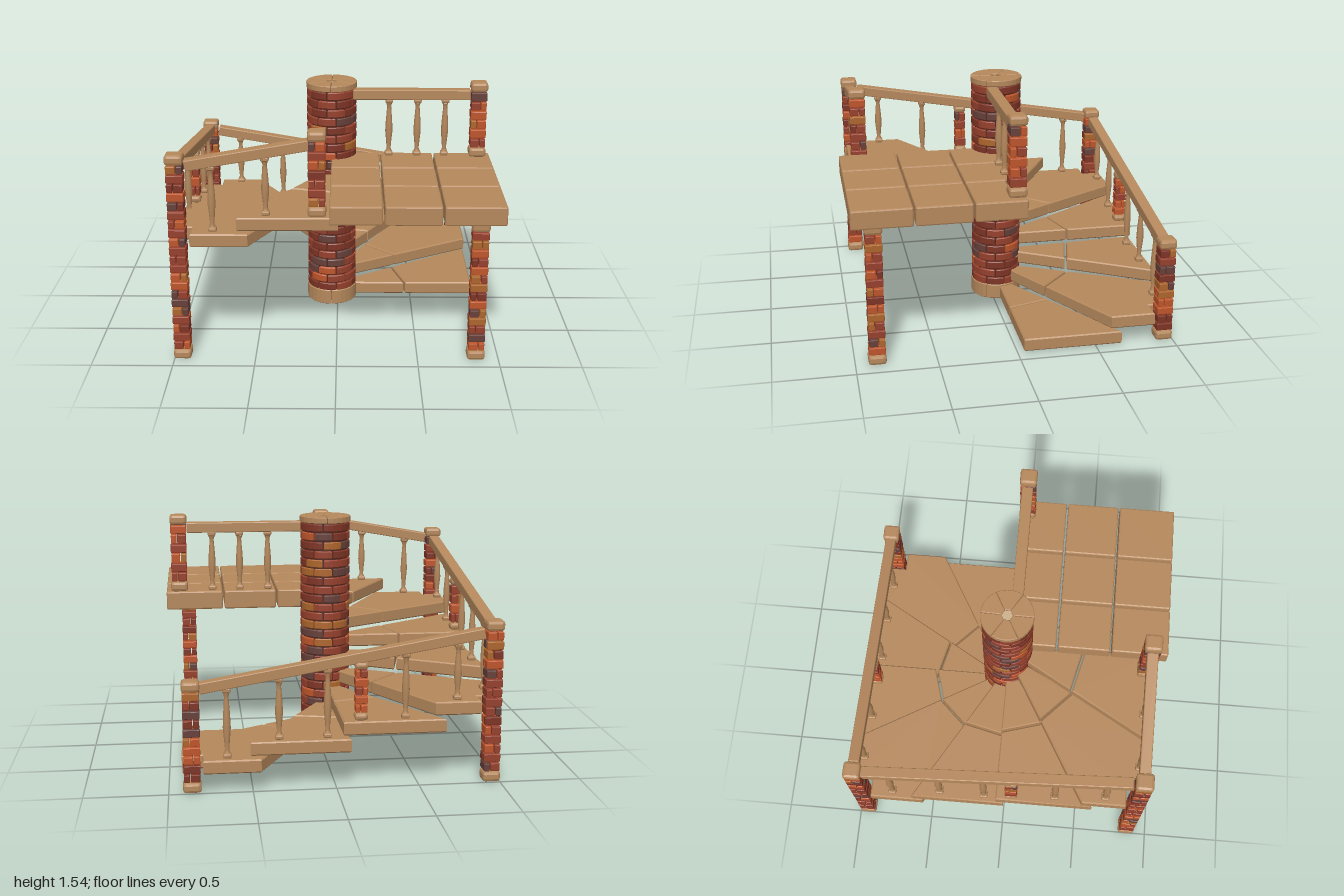
import * as THREE from 'three';
import { mergeGeometries } from 'three/addons/utils/BufferGeometryUtils.js';
import { RoundedBoxGeometry } from 'three/addons/geometries/RoundedBoxGeometry.js';

const material = (name, color) => {
  const m = new THREE.MeshStandardMaterial({ color });
  m.name = name;
  return m;
};

export function createModel() {
  const model = new THREE.Group();
  model.name = 'spiralStaircase';
  const stone = material('tan stone', 0xb5885c);
  const paleStone = material('pale stone', 0xcdb08c);
  const bricks = [
    material('red brick', 0x96402c),
    material('dark red brick', 0x7e3425),
    material('orange brick', 0xbe552b),
    material('ochre brick', 0xad652c),
    material('brown brick', 0x67403a),
  ];
  const mortar = material('dark joint', 0x4f281f);

  let seed = 7;
  const random = () => (seed = (seed * 16807) % 2147483647) / 2147483647;
  const pickBrick = (weights) => {
    let r = random();
    return Math.max(0, weights.findIndex((w) => (r -= w) < 0));
  };

  const add = (name, geometry, mat, parent = model) => {
    const mesh = new THREE.Mesh(geometry, mat);
    mesh.name = name;
    parent.add(mesh);
    return mesh;
  };
  const group = (name, x = 0, y = 0, z = 0) => {
    const g = new THREE.Group();
    g.name = name;
    g.position.set(x, y, z);
    model.add(g);
    return g;
  };

  // Box with bevelled edges, facets kept flat
  const block = (w, h, d, bevel, x = 0, y = 0, z = 0) => {
    const g = new RoundedBoxGeometry(w, h, d, 1, bevel);
    g.computeVertexNormals();
    return g.translate(x, y, z);
  };

  // Upright slab from plan points [x, -z], with bevelled edges
  const slab = (points, y, h, bevel) => {
    const shape = new THREE.Shape(points.map(([px, py]) => new THREE.Vector2(px, py)));
    const g = new THREE.ExtrudeGeometry(shape, {
      depth: h - 2 * bevel, bevelThickness: bevel, bevelSize: bevel, bevelOffset: -bevel, bevelSegments: 1,
    });
    return g.rotateX(-Math.PI / 2).translate(0, y + bevel, 0);
  };
  const polar = (r, a) => [r * Math.cos(a), r * Math.sin(a)];
  const sector = (r0, r1, a0, a1, n) => {
    const pts = [polar(r0, a0)];
    for (let i = 0; i <= n; i++) pts.push(polar(r1, a0 + ((a1 - a0) * i) / n));
    pts.push(polar(r0, a1));
    return pts;
  };

  // Add one merged mesh for each brick colour
  const addBricks = (lists, parent) => lists.forEach((list, i) => {
    if (list.length) add('bricks' + (i + 1), mergeGeometries(list), bricks[i], parent);
  });

  // Central column
  const column = group('column', -0.04, 0, -0.04);
  const rows = 24, pitch = 1.39 / rows;
  const columnBricks = bricks.map(() => []);
  for (let r = 0; r < rows; r++) {
    for (let k = 0; k < 8; k++) {
      const a = ((k + (r % 2) / 2) / 8) * Math.PI * 2 + 0.2;
      const g = slab(sector(0.11, 0.162, a + 0.03, a + Math.PI / 4 - 0.03, 4), 0.1 + r * pitch + 0.004, pitch - 0.008, 0.005);
      columnBricks[pickBrick([0.42, 0.34, 0.08, 0.06, 0.1])].push(g);
    }
  }
  addBricks(columnBricks, column);
  add('columnCore', new THREE.CylinderGeometry(0.146, 0.146, 1.42, 24).translate(0, 0.79, 0), mortar, column);
  const ring = (y, h) => {
    const parts = [];
    for (let k = 0; k < 6; k++) {
      const a = (k * Math.PI) / 3 + 0.5;
      parts.push(slab(sector(0.036, 0.166, a + 0.012, a + Math.PI / 3 - 0.012, 5), y, h, 0.004));
    }
    return mergeGeometries(parts);
  };
  add('columnBase', ring(0.005, 0.1), stone, column);
  add('columnCap', ring(1.49, 0.04), stone, column);
  add('capCentre', new THREE.CylinderGeometry(0.045, 0.045, 0.02, 6).translate(0, 1.505, 0), paleStone, column);

  // Winding steps: 30 degrees each, cut to a square plan and notched at the corner posts
  const steps = group('steps', -0.04, 0, -0.04);
  const half = 0.96, notch = 0.835, deg = Math.PI / 180;
  const stepTop = (i) => 0.01 + i * 0.1055 + 0.083;
  const onSquare = (a) => {
    const [c, s] = polar(1, a);
    const k = half / Math.max(Math.abs(c), Math.abs(s));
    return [c * k, s * k];
  };
  for (let i = 0; i < 9; i++) {
    const a0 = (i % 3) * 30 * deg, a1 = a0 + 33 * deg;
    const inner = [polar(0.15, a0), polar(0.494, a0), polar(0.494, a1), polar(0.15, a1)];
    const outer = [polar(0.508, a0), onSquare(a0)];
    if (i % 3 === 1) outer.push([half, notch], [notch, notch], [notch, half]);
    outer.push(onSquare(a1), polar(0.508, a1));
    const g = mergeGeometries([inner, outer].map((p) => slab(p, stepTop(i) - 0.083, 0.083, 0.008)));
    add('step' + (i + 1), g.rotateY(Math.floor(i / 3) * Math.PI / 2), stone, steps);
  }

  // Landing of nine slabs
  const edges = [-0.04, 0.285, 0.635, 1.0];
  const tiles = [];
  for (let i = 0; i < 3; i++) {
    for (let j = 0; j < 3; j++) {
      const x0 = edges[i], x1 = edges[i + 1], z0 = edges[j], z1 = edges[j + 1];
      const ga = i < 2 ? 0.012 : 0, gb = j < 2 ? 0.012 : 0;
      tiles.push(block(x1 - x0 - ga, 0.12, z1 - z0 - gb, 0.01, (x0 + x1 - ga) / 2, 0.98, (z0 + z1 - gb) / 2));
    }
  }
  add('landing', mergeGeometries(tiles), stone);

  // Brick posts with a stone block at each end
  const post = (name, x, z, y0, y1, w = 0.102) => {
    const p = group(name, x, y0, z);
    const h = y1 - y0, cap = w * 0.62, cw = w * 1.07;
    add('foot', block(cw, cap, cw, 0.018, 0, cap / 2, 0), stone, p);
    add('cap', block(cw, cap, cw, 0.018, 0, h - cap / 2, 0), stone, p);
    const n = Math.round((h - 2 * cap) / 0.058), step = (h - 2 * cap) / n;
    const lists = bricks.map(() => []);
    for (let r = 0; r < n; r++) {
      const y = cap + (r + 0.5) * step, cut = w * (r % 4 < 2 ? 0.6 : 0.4);
      [[cut, -w / 2 + cut / 2], [w - cut, w / 2 - (w - cut) / 2]].forEach(([len, at]) => {
        const g = block(len - 0.005, step - 0.008, w, 0.005, at, y, 0);
        if (r % 2) g.rotateY(Math.PI / 2);
        lists[pickBrick([0.34, 0.2, 0.24, 0.12, 0.1])].push(g);
      });
    }
    addBricks(lists, p);
  };
  post('frontLeftPost', -0.95, 0.865, 0, 1.32);
  post('backLeftPost', -0.95, -0.945, 0, 1.0);
  post('backRightPost', 0.86, -0.945, 0, 0.68);
  post('landingSupport', 0.86, 0.865, 0, 0.91);
  post('topStepPost', -0.115, 0.865, 0.938, 1.465);
  post('landingPost', 0.915, 0.015, 1.04, 1.54);
  post('backMiddlePost', -0.15, -0.945, stepTop(3), 0.77, 0.076);
  post('leftMiddlePost', -0.95, 0.06, stepTop(6), 1.08, 0.076);

  // Turned baluster between two heights
  const balusterProfile = [[0.02, 0], [0.013, 0.06], [0.017, 0.2], [0.024, 0.42], [0.021, 0.62], [0.015, 0.85], [0.013, 0.93], [0.02, 1]];
  const baluster = (x, z, y0, y1) => {
    const b = group('baluster', x, y0, z);
    const h = y1 - y0, e = 0.03;
    add('balusterFoot', block(0.05, e, 0.05, 0.009, 0, e / 2, 0), stone, b);
    add('balusterHead', block(0.05, e, 0.05, 0.009, 0, h - e / 2, 0), stone, b);
    const pts = balusterProfile.map(([r, t]) => new THREE.Vector2(r, e + t * (h - 2 * e)));
    add('balusterShaft', new THREE.LatheGeometry(pts, 12), stone, b);
  };

  // Straight handrail with its balusters, given as [fraction along the rail, foot height]
  const rail = (name, from, to, list) => {
    const a = new THREE.Vector3(...from), b = new THREE.Vector3(...to);
    const mesh = add(name, block(0.07, 0.066, a.distanceTo(b), 0.006), stone);
    mesh.position.copy(a).lerp(b, 0.5);
    mesh.lookAt(b);
    list.forEach(([t, foot]) => {
      const p = a.clone().lerp(b, t);
      baluster(p.x, p.z, foot, p.y - 0.028);
    });
  };
  const at = (p, start, end) => (p - start) / (end - start);
  rail('backRail', [0.81, 0.632, -0.945], [-0.89, 0.922, -0.945],
    [[0.65, 1], [0.34, 2], [0.05, 2], [-0.42, 3], [-0.735, 4]].map(([x, s]) => [at(x, 0.81, -0.89), stepTop(s)]));
  rail('leftRail', [-0.95, 0.945, -0.885], [-0.95, 1.235, 0.805],
    [[-0.73, 4], [-0.41, 5], [-0.12, 5], [0.34, 6], [0.66, 7]].map(([z, s]) => [at(z, -0.885, 0.805), stepTop(s)]));
  rail('frontRail', [-0.89, 1.25, 0.865], [-0.16, 1.378, 0.865],
    [[-0.74, 7], [-0.42, 8]].map(([x, s]) => [at(x, -0.89, -0.16), stepTop(s)]));
  rail('landingRail', [0.1, 1.455, 0.012], [0.86, 1.455, 0.012],
    [0.335, 0.52, 0.7].map((x) => [at(x, 0.1, 0.86), 1.04]));

  return model;
}
